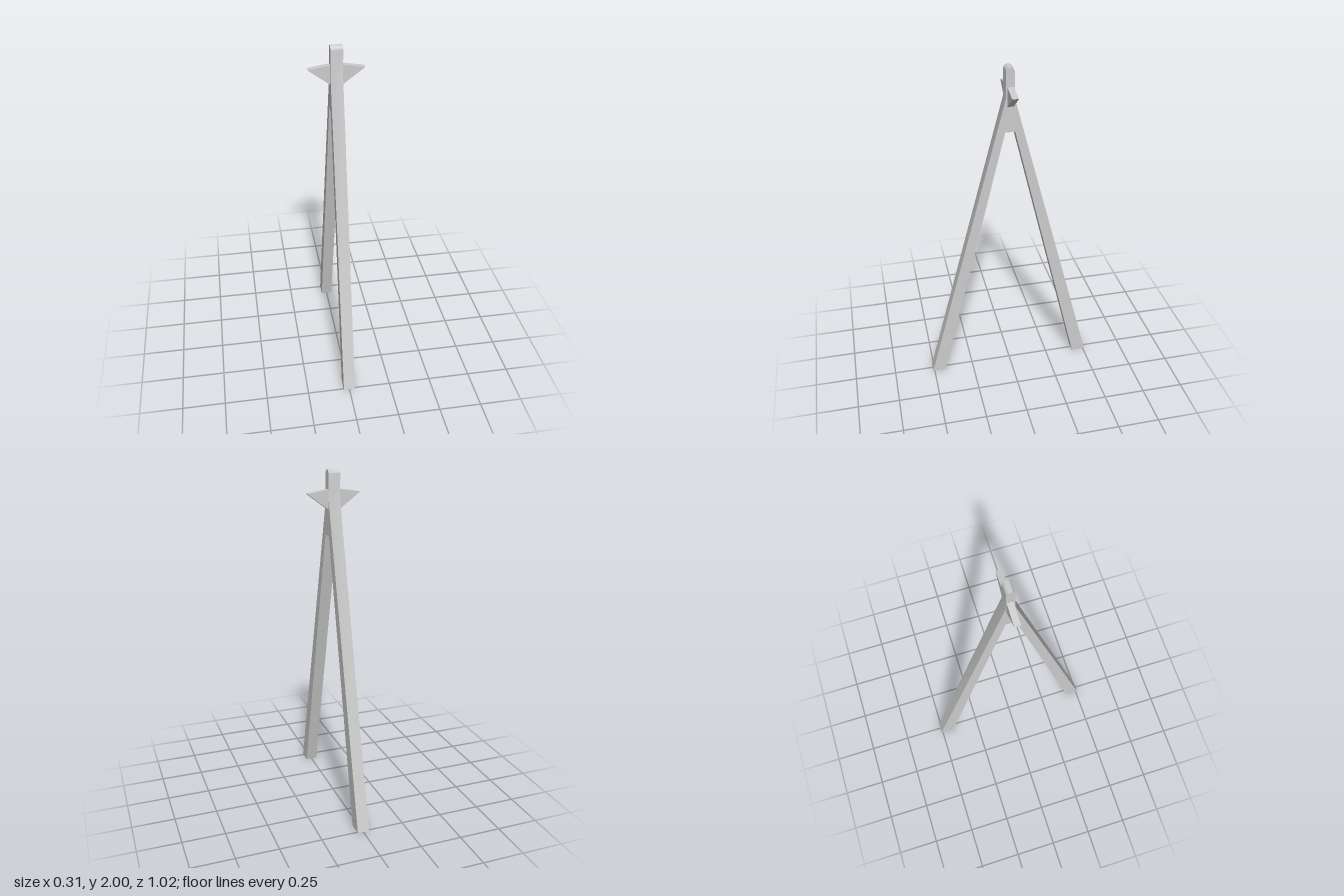
import * as THREE from 'three';
import { toCreasedNormals } from 'three/addons/utils/BufferGeometryUtils.js';

const material = new THREE.MeshStandardMaterial({ color: 0xcccccc });

// Extrude a shape, centred on its depth
function slab(shape, depth) {
  const geometry = new THREE.ExtrudeGeometry(shape, { depth, bevelEnabled: false, curveSegments: 12 });
  return geometry.translate(0, 0, -depth / 2);
}

export function createModel() {
  const model = new THREE.Group();

  // Two splayed legs joined into a round-topped head, drawn as a side profile
  const r = 0.024;
  const profile = new THREE.Shape();
  profile.moveTo(0.51, 0);
  profile.lineTo(r, 1.83);
  profile.lineTo(r, 2 - r);
  profile.absarc(0, 2 - r, r, 0, Math.PI, false);
  profile.lineTo(-r, 1.83);
  profile.lineTo(-0.51, 0);
  profile.lineTo(-0.425, 0);
  profile.lineTo(-0.027, 1.635);
  profile.lineTo(0.029, 1.635);
  profile.lineTo(0.43, 0);
  profile.closePath();
  const legs = new THREE.Mesh(toCreasedNormals(slab(profile, 0.068).rotateY(-Math.PI / 2), 0.5), material);
  legs.name = 'legsAndHead';
  model.add(legs);

  // Triangular wing on each side of the head
  for (const [name, s] of [['leftWing', 1], ['rightWing', -1]]) {
    const wing = new THREE.Shape([
      new THREE.Vector2(s * 0.03, 1.78),
      new THREE.Vector2(s * 0.155, 1.873),
      new THREE.Vector2(s * 0.03, 1.893),
    ]);
    const mesh = new THREE.Mesh(slab(wing, 0.035), material);
    mesh.name = name;
    mesh.position.z = -0.002 + s * 0.001;
    model.add(mesh);
  }
  return model;
}
